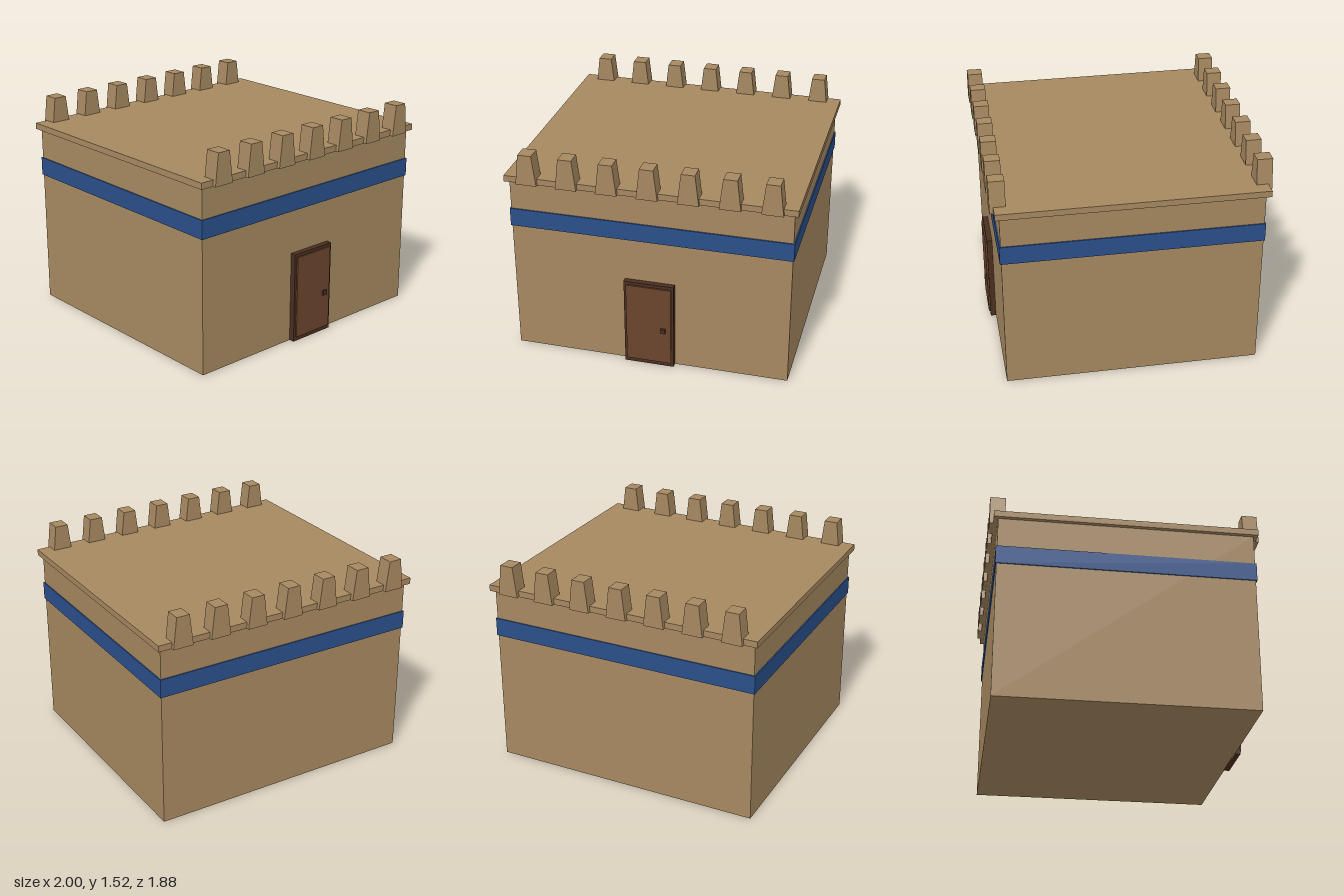
import * as THREE from 'three';

function material(name, color) {
  const m = new THREE.MeshStandardMaterial({ color });
  m.name = name;
  return m;
}

export function createModel() {
  const sandstone = material('sandstone', 0xa68860);
  const blue = material('blue band', 0x2a4f8a);
  const wood = material('door wood', 0x6b452c);
  const darkWood = material('dark wood', 0x4a2e20);

  const model = new THREE.Group();
  model.name = 'fortHouse';

  // Box given by its extents on each axis
  function box(name, mat, [x0, x1], [y0, y1], [z0, z1]) {
    const mesh = new THREE.Mesh(new THREE.BoxGeometry(x1 - x0, y1 - y0, z1 - z0), mat);
    mesh.position.set((x0 + x1) / 2, (y0 + y1) / 2, (z0 + z1) / 2);
    mesh.name = name;
    model.add(mesh);
  }

  // Walls, painted band and overhanging roof slab
  box('walls', sandstone, [-0.972, 0.972], [0, 1.302], [-0.885, 0.878]);
  box('paintedBand', blue, [-0.98, 0.98], [0.956, 1.086], [-0.893, 0.887]);
  box('roofSlab', sandstone, [-1, 1], [1.3, 1.344], [-0.915, 0.907]);

  // Door
  box('doorFrame', darkWood, [-0.175, 0.175], [0, 0.648], [0.87, 0.917]);
  box('doorPanel', wood, [-0.158, 0.158], [0.032, 0.626], [0.89, 0.928]);
  box('doorKnob', darkWood, [0.087, 0.121], [0.28, 0.314], [0.92, 0.943]);

  // Tapered battlements along the front and back edges
  const profile = new THREE.Shape([
    new THREE.Vector2(-0.073, 0), new THREE.Vector2(0.073, 0),
    new THREE.Vector2(0.047, 0.22), new THREE.Vector2(-0.047, 0.22),
  ]);
  const merlonGeometry = new THREE.ExtrudeGeometry(profile, { depth: 0.107, bevelEnabled: false });
  for (const [side, z] of [['front', 0.825], ['back', -0.941]]) {
    const row = new THREE.Group();
    row.name = side + 'Battlements';
    for (let i = -3; i <= 3; i++) {
      const merlon = new THREE.Mesh(merlonGeometry, sandstone);
      merlon.name = 'merlon';
      merlon.position.set(i * 0.278, 1.301, z);
      row.add(merlon);
    }
    model.add(row);
  }
  return model;
}
